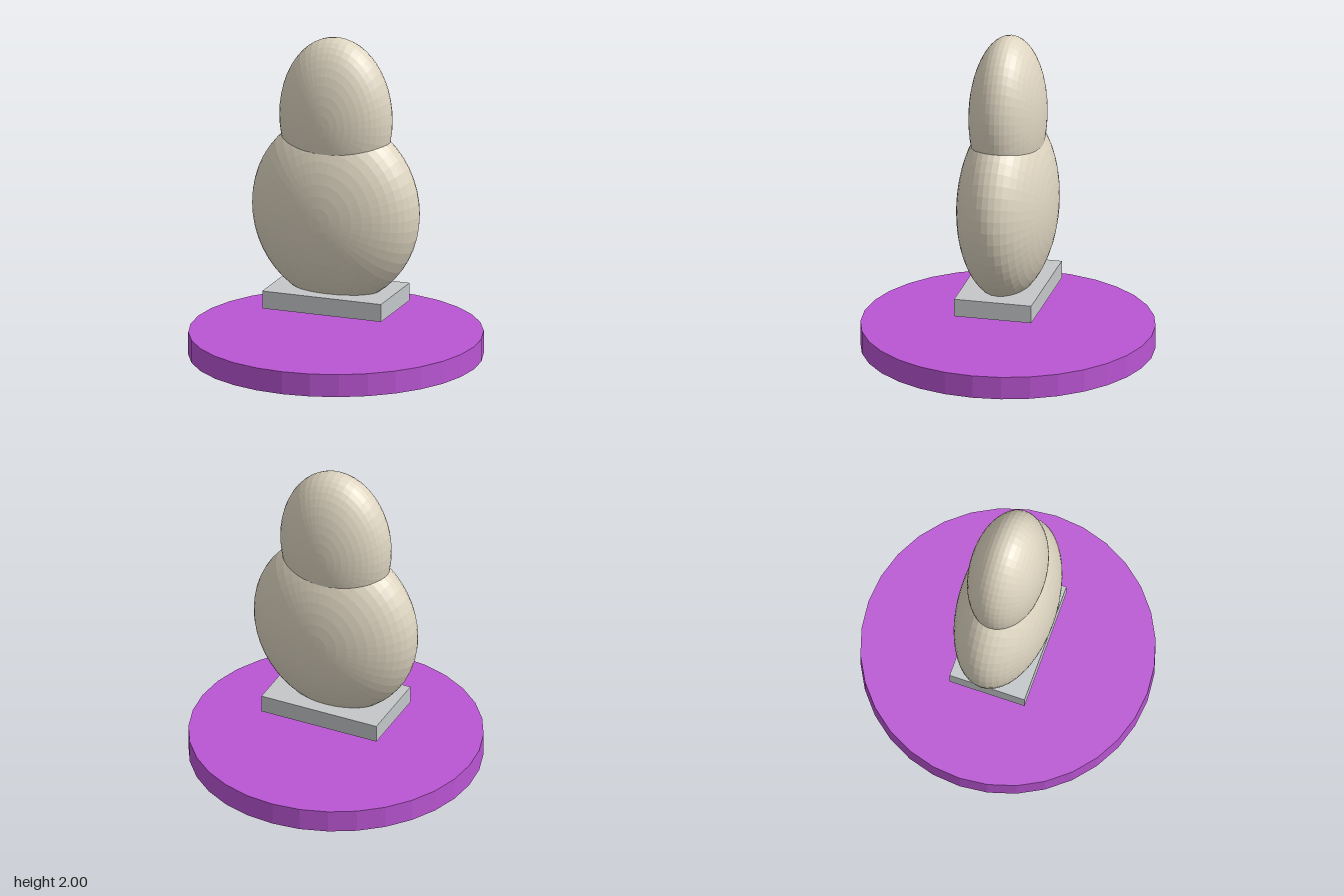
import * as THREE from 'three';

const material = (name, color, flatShading = false) => {
  const m = new THREE.MeshStandardMaterial({ color, flatShading });
  m.name = name;
  return m;
};

export function createModel() {
  const group = new THREE.Group();
  const purple = material('purple', 0xba55d3, true);
  const grey = material('lightGrey', 0xc4c7c9);
  const cream = material('cream', 0xded5c1, true);

  const add = (name, geometry, mat, y) => {
    const mesh = new THREE.Mesh(geometry, mat);
    mesh.name = name;
    mesh.position.y = y;
    group.add(mesh);
  };

  // Flattened egg with its poles on the z axis
  const ellipsoid = (rx, ry, rz) =>
    new THREE.SphereGeometry(1, 48, 24).rotateX(Math.PI / 2).scale(rx, ry, rz);

  // Round base disc
  add('baseDisc', new THREE.CylinderGeometry(0.894, 0.894, 0.142, 32), purple, 0.071);

  // Slab hovering above the disc
  add('slab', new THREE.BoxGeometry(0.77, 0.11, 0.48), grey, 0.368);

  // Body and head
  add('body', ellipsoid(0.533, 0.585, 0.295), cream, 0.923);
  add('head', ellipsoid(0.357, 0.5, 0.231), cream, 1.5);

  return group;
}
